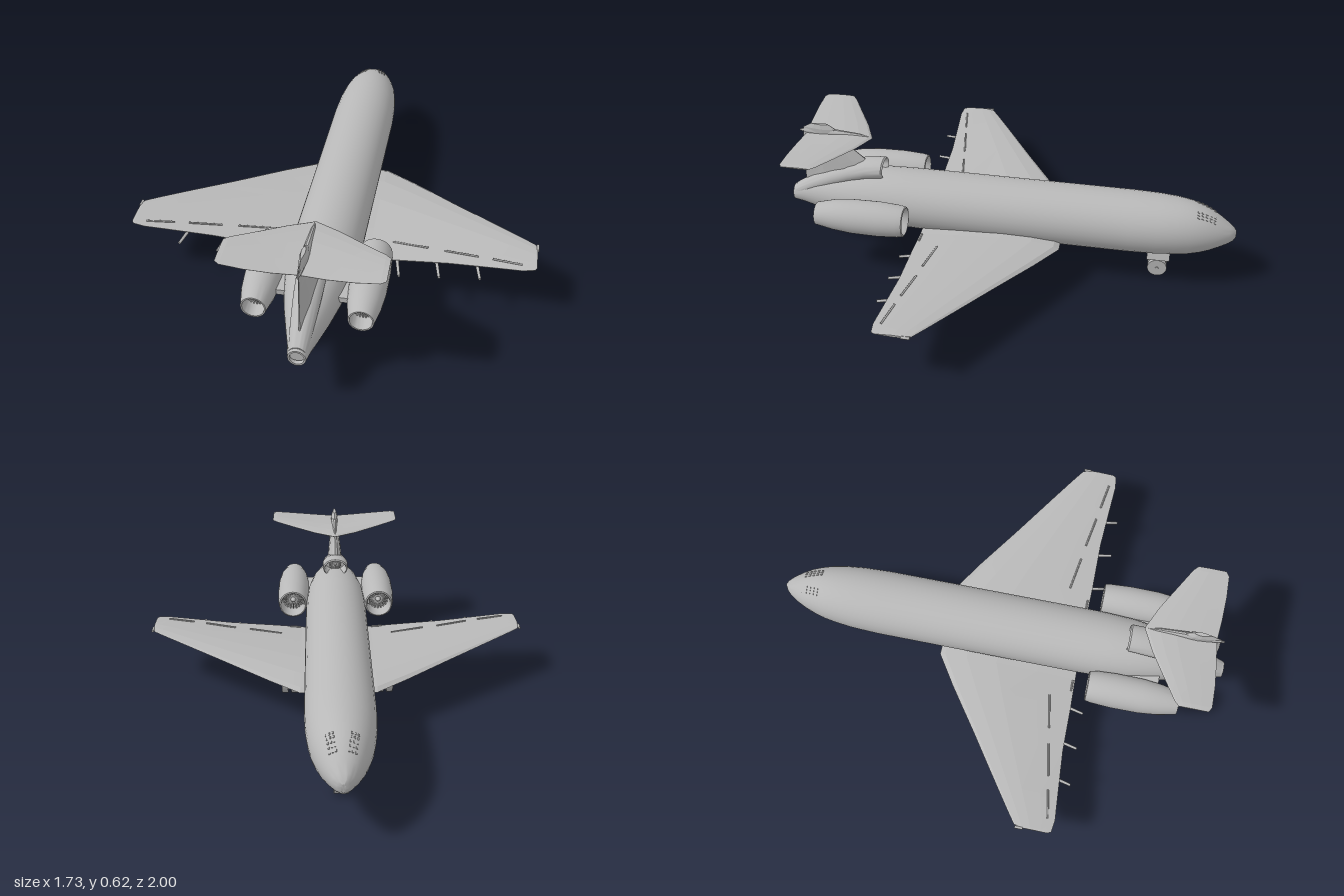
import * as THREE from 'three';
import { toCreasedNormals } from 'three/addons/utils/BufferGeometryUtils.js';

const paint = new THREE.MeshStandardMaterial({ color: 0xb8b8b8 });
paint.name = 'plain grey';

// Skin closed loops of points into a capped solid, turned so its faces point outward
function loft(loops, crease) {
  const n = loops[0].length, pos = loops.flat(2), idx = [];
  for (let i = 0; i < loops.length - 1; i++) {
    for (let j = 0; j < n; j++) {
      const a = i * n + j, b = i * n + (j + 1) % n;
      idx.push(a, b, a + n, b, b + n, a + n);
    }
  }
  for (const [k, flip] of [[0, true], [loops.length - 1, false]]) {
    const c = pos.length / 3;
    for (let d = 0; d < 3; d++) pos.push(loops[k].reduce((s, p) => s + p[d], 0) / n);
    for (let j = 0; j < n; j++) {
      const a = k * n + j, b = k * n + (j + 1) % n;
      if (flip) idx.push(c, b, a); else idx.push(c, a, b);
    }
  }
  const v = (i) => new THREE.Vector3().fromArray(pos, i * 3);
  let volume = 0;
  for (let i = 0; i < idx.length; i += 3) volume += v(idx[i]).dot(v(idx[i + 1]).cross(v(idx[i + 2])));
  if (volume < 0) idx.reverse();
  const g = new THREE.BufferGeometry();
  g.setAttribute('position', new THREE.Float32BufferAttribute(pos, 3));
  g.setIndex(idx);
  return toCreasedNormals(g, crease);
}

// Oval tube along z from rings of [z, centre y, half width, half height]
const tube = (rings, x = 0, n = 32) => loft(rings.map(([z, y, rx, ry]) =>
  Array.from({ length: n }, (_, j) => {
    const a = j / n * Math.PI * 2;
    return [x + rx * Math.cos(a), y + ry * Math.sin(a), z];
  })), 0.6);

// Aerofoil outline as [chord fraction, thickness fraction]
const half = [[0.04, 0.45], [0.2, 0.9], [0.42, 1], [0.72, 0.6]];
const foil = [[0, 0], ...half, [1, 0.06], [1, -0.06], ...half.map(([f, t]) => [f, -t]).reverse()];

// Wing from sections of [x, leading z, trailing z, y, half thickness]
const wingSolid = (sections, s) => loft(sections.map(([x, a, b, y, h]) =>
  foil.map(([f, t]) => [s * x, y + t * h, a + f * (b - a)])), 0.03);

const body = [
  [-1, 0.255, 0.009, 0.018], [-0.99, 0.255, 0.025, 0.032], [-0.97, 0.257, 0.044, 0.046],
  [-0.93, 0.262, 0.07, 0.069], [-0.89, 0.266, 0.09, 0.091], [-0.85, 0.268, 0.105, 0.107],
  [-0.8, 0.27, 0.12, 0.119], [-0.74, 0.272, 0.131, 0.126], [-0.66, 0.272, 0.14, 0.131],
  [-0.54, 0.272, 0.145, 0.133], [0.36, 0.272, 0.145, 0.133], [0.46, 0.274, 0.143, 0.131],
  [0.58, 0.276, 0.136, 0.127], [0.7, 0.272, 0.117, 0.114], [0.8, 0.264, 0.092, 0.095],
  [0.88, 0.257, 0.068, 0.076], [0.95, 0.249, 0.046, 0.053], [1, 0.243, 0.035, 0.038],
  [1, 0.243, 0.028, 0.03], [0.95, 0.246, 0.024, 0.026],
];

export function createModel() {
  const model = new THREE.Group();
  const add = (name, geo, x = 0, y = 0, z = 0) => {
    const m = new THREE.Mesh(geo, paint);
    m.name = name;
    m.position.set(x, y, z);
    model.add(m);
    return m;
  };
  const box = (name, w, h, d, x, y, z) => add(name, new THREE.BoxGeometry(w, h, d), x, y, z);
  const rod = (name, a, b, r, r2 = r) => {
    const p = new THREE.Vector3(...a), q = new THREE.Vector3(...b), dir = q.clone().sub(p);
    const m = add(name, new THREE.CylinderGeometry(r2, r, dir.length(), 8));
    m.position.copy(p).add(q).multiplyScalar(0.5);
    m.quaternion.setFromUnitVectors(new THREE.Vector3(0, 1, 0), dir.normalize());
    return m;
  };
  // Fan with a pointed hub
  const fan = (name, x, y, z, r, dir) => {
    const hub = add(name + 'Hub', new THREE.ConeGeometry(r * 0.35, r * 0.8, 12), x, y, z + dir * r * 0.4);
    hub.rotation.x = dir * Math.PI / 2;
    for (let i = 0; i < 10; i++) {
      const blade = box(name + 'Blade', r * 2, r * 0.12, 0.008, x, y, z + dir * 0.005);
      blade.rotation.z = i * Math.PI / 10;
    }
  };

  add('fuselage', tube(body));
  fan('tailExhaust', 0, 0.246, 0.952, 0.024, 1);

  // Intake above the rear fuselage, sinking toward the tail
  add('centreEngineDuct', tube([
    [0.63, 0.42, 0.046, 0.03], [0.57, 0.422, 0.05, 0.034], [0.558, 0.422, 0.055, 0.039],
    [0.565, 0.422, 0.06, 0.044], [0.64, 0.414, 0.062, 0.046], [0.72, 0.388, 0.058, 0.048],
    [0.8, 0.355, 0.054, 0.048], [0.9, 0.306, 0.045, 0.044], [0.99, 0.255, 0.034, 0.034],
  ]));
  fan('centreIntake', 0, 0.421, 0.622, 0.03, -1);

  // Fin from sections of [y, leading z, trailing z, half thickness]
  add('fin', loft([
    [0.3, 0.6, 0.94, 0.042], [0.42, 0.61, 0.935, 0.034], [0.455, 0.645, 0.932, 0.03],
    [0.5, 0.695, 0.93, 0.024], [0.56, 0.742, 0.922, 0.017], [0.6, 0.775, 0.916, 0.015],
    [0.62, 0.805, 0.88, 0.008],
  ].map(([y, a, b, h]) => foil.map(([f, t]) => [t * h, y, a + f * (b - a)])), 0.03));
  add('tailBullet', tube([[0.62, 0.575, 0.002, 0.002], [0.66, 0.576, 0.009, 0.012],
    [0.8, 0.58, 0.016, 0.02], [0.9, 0.582, 0.009, 0.012], [0.935, 0.582, 0.003, 0.004]], 0, 10));

  for (const s of [1, -1]) {
    const side = s > 0 ? 'left' : 'right';
    add(side + 'Wing', wingSolid([
      [0, -0.25, 0.37, 0.192, 0.032], [0.165, -0.25, 0.37, 0.196, 0.032],
      [0.3, -0.162, 0.372, 0.207, 0.028], [0.5, -0.02, 0.372, 0.223, 0.02],
      [0.7, 0.118, 0.385, 0.24, 0.014], [0.8, 0.188, 0.392, 0.248, 0.01],
      [0.852, 0.226, 0.385, 0.252, 0.007], [0.86, 0.25, 0.37, 0.253, 0.005],
    ], s));
    add(side + 'Tailplane', wingSolid([
      [0, 0.605, 0.905, 0.57, 0.014], [0.1, 0.652, 0.915, 0.574, 0.012],
      [0.2, 0.712, 0.92, 0.581, 0.009], [0.29, 0.766, 0.918, 0.589, 0.006],
      [0.31, 0.785, 0.905, 0.591, 0.003],
    ], s));
    rod(side + 'WingTipLight', [s * 0.861, 0.253, 0.23], [s * 0.861, 0.253, 0.265], 0.006);

    // Spoiler strips on the upper surface and flap tracks below
    for (const [x1, z1, x2, z2, y1, y2] of [[0.26, 0.295, 0.41, 0.27, 0.212, 0.226],
      [0.48, 0.33, 0.62, 0.305, 0.227, 0.241], [0.68, 0.34, 0.8, 0.36, 0.243, 0.251]]) {
      const [za, zb] = [Math.min(z1, z2), Math.max(z1, z2)];
      rod('spoilerStrip', [s * x1, y1 + 0.004, za], [s * x2, y2 + 0.002, zb], 0.004);
    }
    rod('flapHinge', [s * 0.17, 0.203, 0.36], [s * 0.22, 0.207, 0.36], 0.004);
    for (const [x, y] of [[0.305, 0.174], [0.47, 0.192], [0.635, 0.21]]) {
      rod('flapTrack', [s * (x - 0.04), y + 0.012, 0.24], [s * x, y, 0.43], 0.009, 0.006);
    }

    // Side engine: hollow nacelle, fans and pylon
    const ex = s * 0.208, ey = 0.292;
    add(side + 'Nacelle', tube([
      [0.5, ey, 0.05, 0.05], [0.435, ey, 0.054, 0.054], [0.421, ey, 0.06, 0.06],
      [0.424, ey, 0.066, 0.066], [0.45, ey, 0.071, 0.071], [0.54, ey, 0.076, 0.077],
      [0.66, ey, 0.075, 0.075], [0.74, ey, 0.067, 0.067], [0.82, ey - 0.003, 0.05, 0.05],
      [0.82, ey - 0.003, 0.044, 0.044], [0.75, ey, 0.04, 0.04],
    ], ex));
    fan(side + 'Intake', ex, ey, 0.49, 0.05, -1);
    fan(side + 'Exhaust', ex, ey, 0.755, 0.04, 1);
    box(side + 'Pylon', 0.08, 0.024, 0.27, s * 0.125, ey, 0.59);

    // Main landing gear
    const gx = s * 0.221;
    for (const d of [-0.021, 0.021]) wheel(gx + d, 0.062, 0.1, 0.028);
    rod('mainAxle', [gx - 0.04, 0.062, 0.1], [gx + 0.04, 0.062, 0.1], 0.01);
    box('mainStrut', 0.014, 0.14, 0.03, gx, 0.125, 0.1);
    box('mainStrutHousing', 0.032, 0.05, 0.05, gx, 0.15, 0.1);
    rod('mainBrace', [gx - s * 0.09, 0.162, 0.1], [gx + s * 0.08, 0.162, 0.1], 0.01);
    for (const d of [-1, 1]) {
      const door = box('mainGearDoor', 0.006, 0.052, 0.13, gx + d * 0.06, 0.132, 0.105);
      door.rotation.z = d * 0.3;
    }

    // Nose gear wheel and door
    wheel(s * 0.02, 0.043, -0.68, 0.02);
    const noseDoor = box('noseGearDoor', 0.005, 0.05, 0.1, s * 0.036, 0.122, -0.68);
    noseDoor.rotation.z = s * 0.3;

    // Rows of small cockpit panes set on the skin
    for (let row = 0; row < 3; row++) {
      for (let i = 0; i < 5; i++) {
        const z = -0.9 + i * 0.018, x = 0.024 + row * 0.012 + i * 0.003;
        const k = body.findIndex((r) => r[0] > z), p = body[k - 1], q = body[k];
        const f = (z - p[0]) / (q[0] - p[0]);
        const [yc, rx, ry] = [1, 2, 3].map((c) => p[c] + f * (q[c] - p[c]));
        const pane = box('cockpitPane', 0.006, 0.005, 0.01, s * x, yc + ry * Math.sqrt(1 - (x / rx) ** 2), z);
        pane.rotation.set(-0.4, 0, -s * 0.4);
      }
    }
  }
  rod('noseAxle', [-0.034, 0.043, -0.68], [0.034, 0.043, -0.68], 0.007);
  rod('noseStrut', [0, 0.04, -0.68], [0, 0.16, -0.68], 0.009);
  rod('noseBrace', [0, 0.09, -0.68], [0, 0.145, -0.74], 0.005);

  function wheel(x, y, z, w) {
    const m = add('wheel', new THREE.CylinderGeometry(y, y, w, 28), x, y, z);
    m.rotation.z = Math.PI / 2;
  }
  return model;
}
